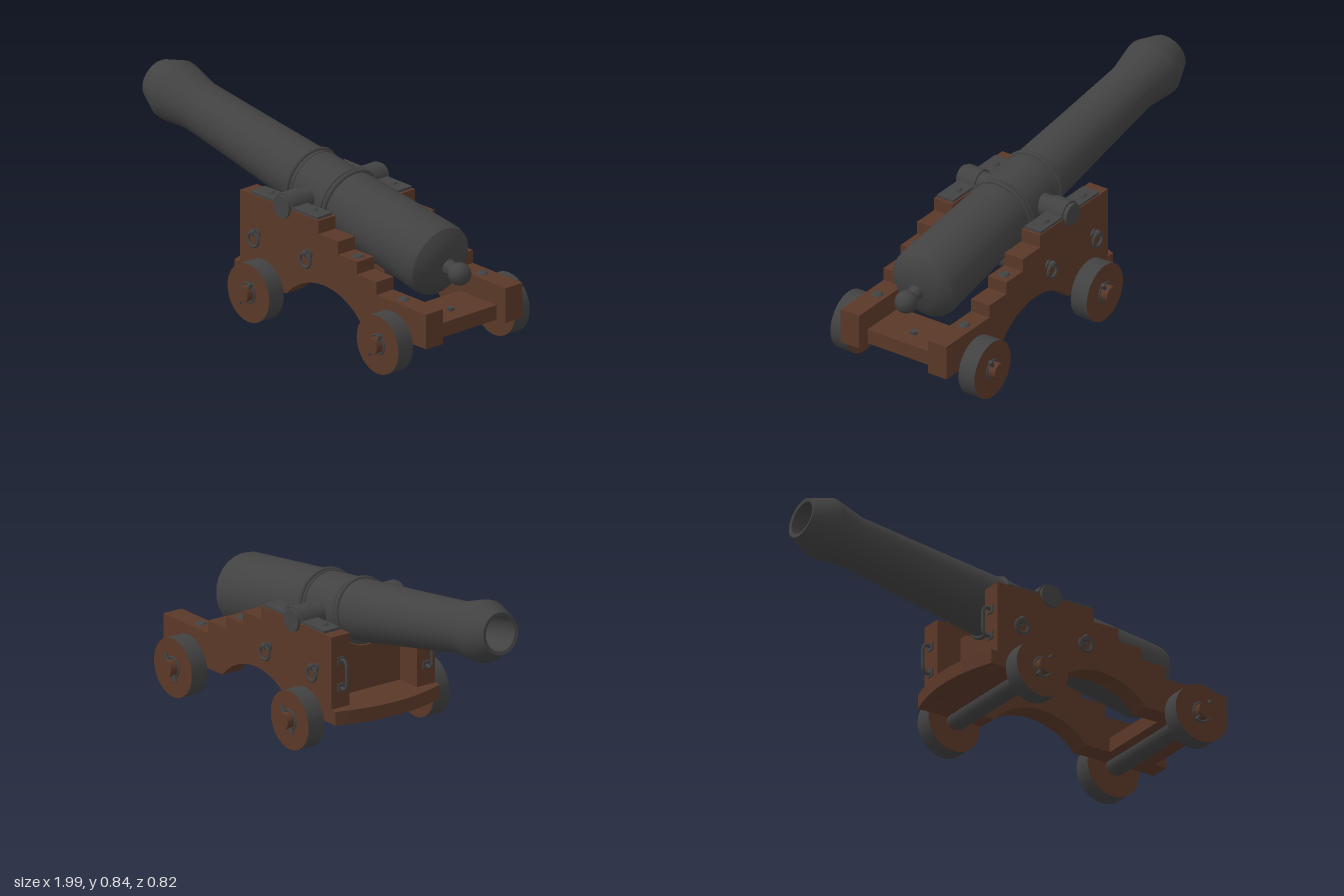
import * as THREE from 'three';
import { toCreasedNormals } from 'three/addons/utils/BufferGeometryUtils.js';

export function createModel() {
  const iron = new THREE.MeshStandardMaterial({ color: 0x424242 });
  iron.name = 'iron';
  const wood = new THREE.MeshStandardMaterial({ color: 0x5a3828 });
  wood.name = 'wood';

  const model = new THREE.Group();
  model.name = 'cannon';

  function add(name, geometry, material, x = 0, y = 0, z = 0, parent = model) {
    const mesh = new THREE.Mesh(geometry, material);
    mesh.name = name;
    mesh.position.set(x, y, z);
    parent.add(mesh);
    return mesh;
  }
  const rod = (r, length, sides = 16) => new THREE.CylinderGeometry(r, r, length, sides);
  const rodZ = (r, length, sides = 24) => rod(r, length, sides).rotateX(Math.PI / 2);
  const slab = (shape, depth) => toCreasedNormals(
    new THREE.ExtrudeGeometry(shape, { depth, bevelEnabled: false, curveSegments: 16 }), 0.5);

  // Barrel, turned about its own axis and tilted muzzle-up: [distance from trunnion, radius]
  const barrel = new THREE.Group();
  barrel.name = 'barrel';
  barrel.position.set(0.1, 0.527, 0);
  barrel.rotation.z = -0.1766;
  model.add(barrel);
  const profile = [
    [-0.65, 0], [-0.65, 0.074], [-1.095, 0.076], [-1.098, 0.092], [-1.08, 0.1],
    [-0.997, 0.135], [-0.975, 0.134], [-0.84, 0.112], [-0.5, 0.122], [-0.15, 0.134],
    [0.13, 0.146], [0.4, 0.156], [0.665, 0.164], [0.695, 0.157], [0.722, 0.125],
    [0.738, 0.088], [0.745, 0.034], [0.78, 0.03],
  ];
  // Round knob closing the breech
  for (let i = 0; i <= 7; i++) {
    const a = 2.5 * (1 - i / 7);
    profile.push([0.818 + 0.05 * Math.cos(a), 0.05 * Math.sin(a)]);
  }
  const lathe = new THREE.LatheGeometry(profile.map(([s, r]) => new THREE.Vector2(r, s)), 24);
  add('barrelTube', toCreasedNormals(lathe.rotateZ(-Math.PI / 2), 0.6), iron, 0, 0, 0, barrel);

  // Raised bands, each with a thin companion ring
  for (const [s, r] of [[-0.125, 0.136], [-0.1, 0.134], [0.118, 0.148], [0.094, 0.145]]) {
    const main = Math.abs(s) > 0.11;
    const ring = new THREE.TorusGeometry(r, main ? 0.011 : 0.006, 8, 24).rotateY(Math.PI / 2);
    add('barrelBand', ring, iron, s, 0, 0, barrel);
  }
  add('trunnion', rodZ(0.05, 0.574), iron, 0.1, 0.528, 0);

  // Stepped cheek with an arched underside
  const cheek = new THREE.Shape();
  cheek.moveTo(-0.168, 0.14);
  cheek.lineTo(0.12, 0.14);
  cheek.absarc(0.355, -0.0705, 0.3145, Math.atan2(0.2105, -0.235), Math.atan2(0.2105, 0.235), true);
  for (const [x, y] of [[0.997, 0.14], [0.997, 0.297], [0.687, 0.297], [0.687, 0.355],
    [0.564, 0.355], [0.564, 0.41], [0.446, 0.41], [0.446, 0.468], [0.323, 0.468],
    [0.323, 0.527], [-0.168, 0.527]]) cheek.lineTo(x, y);

  // Iron strap that arches over the trunnion
  const strap = new THREE.Shape();
  strap.moveTo(-0.11, 0.525);
  strap.lineTo(0.31, 0.525);
  strap.lineTo(0.31, 0.538);
  strap.lineTo(0.157, 0.538);
  strap.absarc(0.1, 0.528, 0.058, 0.17, Math.PI - 0.17, false);
  strap.lineTo(-0.11, 0.538);

  const cheekGeometry = slab(cheek, 0.096);
  const strapGeometry = slab(strap, 0.084);

  for (const side of [1, -1]) {
    add('cheek', cheekGeometry, wood, 0, 0, side > 0 ? 0.179 : -0.275);
    add('trunnionStrap', strapGeometry, iron, 0, 0, side > 0 ? 0.186 : -0.27);

    // Bolt heads on the strap and steps
    for (const [x, y] of [[-0.04, 0.538], [0.23, 0.538], [0.515, 0.41], [0.8, 0.297]]) {
      add('boltHead', new THREE.CylinderGeometry(0.018, 0.026, 0.008, 12), iron, x, y + 0.004, side * 0.226);
    }

    // Eyebolts with hanging rings on the outer face
    for (const x of [-0.06, 0.265]) {
      add('eyeboltPlate', rodZ(0.02, 0.01, 12), iron, x, 0.362, side * 0.279);
      add('eyebolt', rodZ(0.01, 0.036, 10), iron, x, 0.366, side * 0.292);
      add('eyeboltHead', new THREE.SphereGeometry(0.014, 10, 8), iron, x, 0.372, side * 0.3);
      add('hangingRing', new THREE.TorusGeometry(0.031, 0.007, 8, 20), iron, x, 0.339, side * 0.299);
    }

    // Handle on the front end of the cheek
    const path = new THREE.CatmullRomCurve3([
      [-0.16, 0.415], [-0.195, 0.42], [-0.208, 0.405], [-0.21, 0.355], [-0.208, 0.305],
      [-0.195, 0.29], [-0.16, 0.295],
    ].map(([x, y]) => new THREE.Vector3(x, y, side * 0.227)));
    add('frontHandle', new THREE.TubeGeometry(path, 24, 0.008, 8), iron);
    for (const y of [0.295, 0.415]) {
      add('handlePlate', new THREE.BoxGeometry(0.008, 0.034, 0.036), iron, -0.171, y, side * 0.227);
    }
  }

  // Front bed plank with a bowed edge
  const bed = new THREE.Shape();
  bed.moveTo(0.04, -0.18);
  bed.lineTo(0.04, 0.18);
  bed.lineTo(-0.168, 0.18);
  bed.lineTo(-0.168, 0.278);
  bed.lineTo(-0.2, 0.278);
  bed.quadraticCurveTo(-0.305, 0, -0.2, -0.278);
  bed.lineTo(-0.168, -0.278);
  bed.lineTo(-0.168, -0.18);
  add('frontBed', slab(bed, 0.062).rotateX(-Math.PI / 2), wood, 0, 0.141, 0);

  // Cross wall under the barrel, hollowed to clear it
  const transom = new THREE.Shape();
  transom.moveTo(-0.18, 0.2);
  transom.lineTo(0.18, 0.2);
  transom.lineTo(0.18, 0.47);
  transom.lineTo(0.14, 0.47);
  transom.quadraticCurveTo(0, 0.33, -0.14, 0.47);
  transom.lineTo(-0.18, 0.47);
  add('transom', slab(transom, 0.08).rotateY(Math.PI / 2), wood, -0.05, 0, 0);
  add('rearBed', new THREE.BoxGeometry(0.23, 0.066, 0.358), wood, 0.823, 0.171, 0);
  add('rearBedBolt', rod(0.016, 0.014, 12), iron, 0.85, 0.21, 0);

  // Axles, wheels and linchpins
  for (const x of [-0.007, 0.802]) {
    add('axleBar', rodZ(0.047, 0.544), iron, x, 0.137, 0);
    for (const side of [1, -1]) {
      const wheel = new THREE.CylinderGeometry(0.131, 0.131, 0.083, 32).rotateX(Math.PI / 2);
      add('wheel', wheel, [iron, wood, wood], x, 0.131, side * 0.333);
      add('axleEnd', rodZ(0.036, 0.144), wood, x, 0.134, side * 0.34);
      add('hubRing', new THREE.TorusGeometry(0.042, 0.006, 6, 24), iron, x, 0.134, side * 0.375);
      const pin = add('linchpin', rod(0.009, 0.13, 10), iron, x, 0.136, side * 0.389);
      pin.rotation.z = -0.6;
    }
  }
  return model;
}
